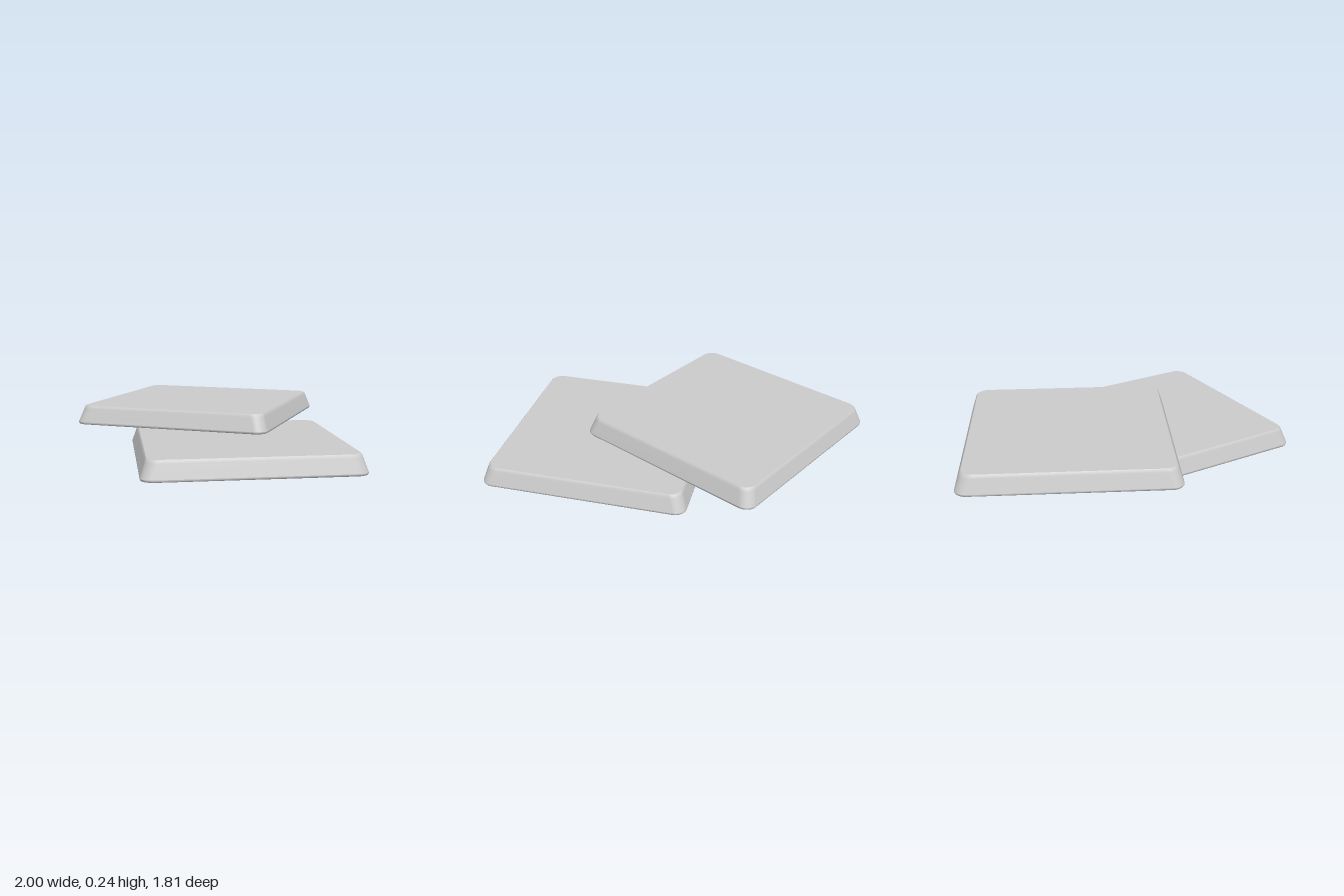
import * as THREE from 'three';

const HALF = 0.4985;  // centre to corner-arc centre at the rim
const RADIUS = 0.06;  // corner radius
const STEPS = 8;      // segments per rounded corner

// One rounded-square loop; inset null collapses it to the centre
function ring([inset, y]) {
  const h = inset === null ? 0 : HALF - inset;
  const r = inset === null ? 0 : RADIUS;
  const pts = [];
  for (let c = 0; c < 4; c++) {
    const mid = Math.PI / 4 + c * Math.PI / 2;
    const cx = Math.sign(Math.cos(mid)) * h, cz = Math.sign(Math.sin(mid)) * h;
    for (let i = 0; i <= STEPS; i++) {
      const a = (c + i / STEPS) * Math.PI / 2;
      pts.push(cx + r * Math.cos(a), y, cz + r * Math.sin(a));
    }
  }
  return pts;
}

// Smooth skin through the loops of a profile of [inset, y] points
function skin(profile) {
  const n = 4 * (STEPS + 1), index = [];
  for (let k = 0; k < profile.length - 1; k++) {
    for (let i = 0; i < n; i++) {
      const a = k * n + i, b = k * n + (i + 1) % n;
      index.push(a, a + n, b, b, a + n, b + n);
    }
  }
  const g = new THREE.BufferGeometry();
  g.setAttribute('position', new THREE.Float32BufferAttribute(profile.flatMap(ring), 3));
  g.setIndex(index);
  g.computeVertexNormals();
  return g;
}

function createTray(name, x, y, z, degrees) {
  const material = new THREE.MeshStandardMaterial({ color: 0xcccccc });
  const tray = new THREE.Group();
  tray.name = name;
  const parts = {
    underside: [[null, 0.094], [0.042, 0.094]],
    innerWall: [[0.042, 0.094], [0.036, 0.086], [0.014, 0.008]],
    rim: [[0.014, 0.008], [0.012, 0.002], [0.008, 0], [0.003, 0.002], [0, 0.008], [0, 0.013]],
    outerWall: [[0, 0.013], [0.024, 0.086], [0.028, 0.097], [0.034, 0.104]],
    topPanel: [[0.034, 0.104], [null, 0.104]],
  };
  for (const [part, profile] of Object.entries(parts)) {
    const mesh = new THREE.Mesh(skin(profile), material);
    mesh.name = part;
    tray.add(mesh);
  }
  tray.position.set(x, y, z);
  tray.rotation.y = THREE.MathUtils.degToRad(degrees);
  return tray;
}

export function createModel() {
  const model = new THREE.Group();
  model.name = 'overlappingTrays';
  model.add(createTray('lowerTray', 0.235, 0, 0.14, 45));
  model.add(createTray('upperTray', -0.312, 0.132, -0.218, 18.4));
  return model;
}
